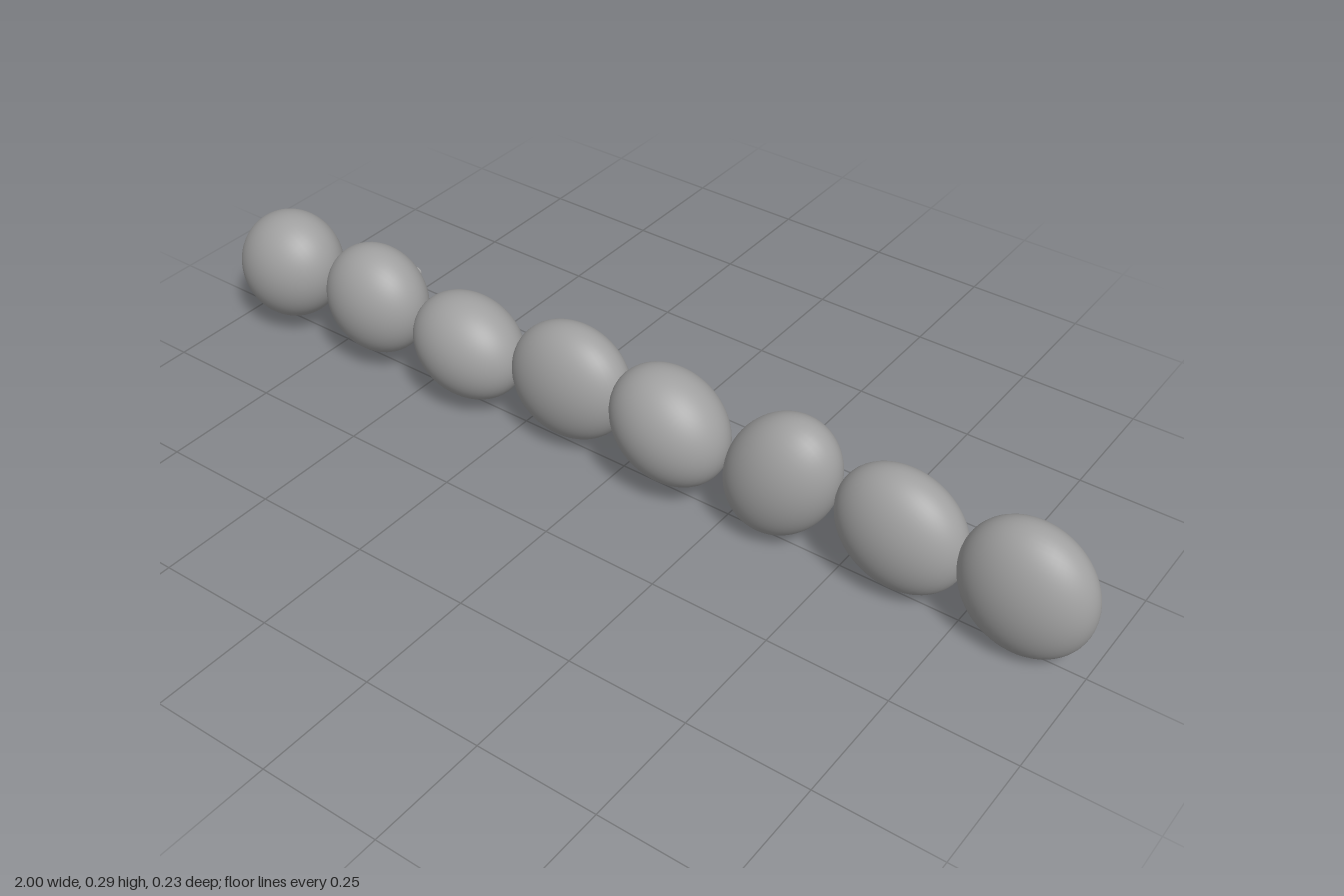
import * as THREE from 'three';

// Each pebble: centre x, centre y, back z, front z, long radius, short radius, tilt in degrees
const PEBBLES = [
  [-0.883, 0.155, -0.088, 0.113, 0.126, 0.1155, 56],
  [-0.634, 0.162, -0.079, 0.104, 0.1215, 0.119, 90],
  [-0.385, 0.144, -0.084, 0.107, 0.128, 0.111, -13],
  [-0.134, 0.154, -0.088, 0.077, 0.1386, 0.1284, 23],
  [0.116, 0.164, -0.088, 0.107, 0.1317, 0.1147, -33],
  [0.364, 0.155, -0.088, 0.085, 0.1457, 0.1106, 62],
  [0.614, 0.146, -0.088, 0.075, 0.1356, 0.124, -29],
  [0.866, 0.141, -0.088, 0.077, 0.14, 0.131, -70],
];
const PEG_RADIUS = 0.011;
const PEG_BACK = -0.113;
const PEG_FRONT = -0.05;

export function createModel() {
  const model = new THREE.Group();
  model.name = 'pebbleRow';
  const stone = new THREE.MeshStandardMaterial({ color: 0xa0a0a0 });
  stone.name = 'grey stone';

  const ball = new THREE.SphereGeometry(1, 48, 32);
  const rod = new THREE.CylinderGeometry(PEG_RADIUS, PEG_RADIUS, PEG_FRONT - PEG_BACK, 12);
  rod.rotateX(Math.PI / 2);

  PEBBLES.forEach(([x, y, back, front, long, short, tilt], i) => {
    const unit = new THREE.Group();
    unit.name = `pebbleUnit${i + 1}`;
    unit.position.set(x, y, 0);

    // Flattened, tilted pebble
    const pebble = new THREE.Mesh(ball, stone);
    pebble.name = 'pebble';
    pebble.scale.set(long, short, (front - back) / 2);
    pebble.rotation.z = THREE.MathUtils.degToRad(tilt);
    pebble.position.z = (front + back) / 2;

    // Mounting peg out of the back
    const peg = new THREE.Mesh(rod, stone);
    peg.name = 'mountingPeg';
    peg.position.z = (PEG_FRONT + PEG_BACK) / 2;

    unit.add(pebble, peg);
    model.add(unit);
  });
  return model;
}
